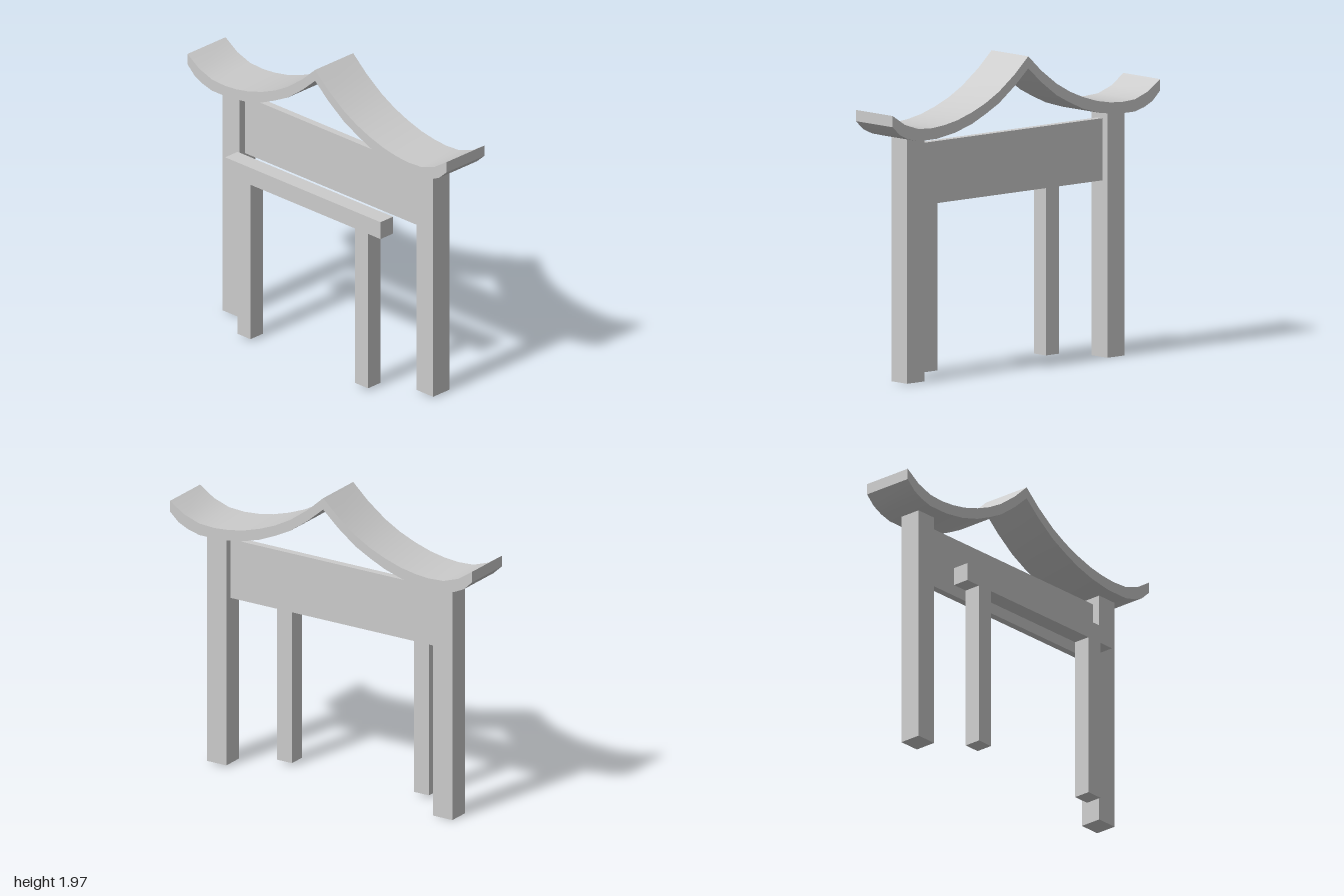
import * as THREE from 'three';
import { toCreasedNormals } from 'three/addons/utils/BufferGeometryUtils.js';

const material = new THREE.MeshStandardMaterial({ color: 0xcccccc });
const RIDGE = -0.016;

function box(name, [w, y0, y1, d], x, z) {
  const mesh = new THREE.Mesh(new THREE.BoxGeometry(w, y1 - y0, d), material);
  mesh.name = name;
  mesh.position.set(x, (y0 + y1) / 2, z);
  return mesh;
}

// Swept roof: half profiles from ridge to upturned eave, mirrored and extruded
function makeRoof() {
  const END = 1.113, depth = 0.336;
  const upper = [[0, 1.965], [0.11, 1.865], [0.24, 1.77], [0.35, 1.71], [0.46, 1.665],
    [0.58, 1.628], [0.69, 1.608], [0.79, 1.6], [0.9, 1.606], [1.01, 1.643], [END, 1.71]];
  const lower = [[END, 1.64], [1.05, 1.582], [0.98, 1.55], [0.9, 1.53], [0.75, 1.53],
    [0.6, 1.552], [0.46, 1.593], [0.35, 1.642], [0.24, 1.698], [0.11, 1.793], [0, 1.89]];
  const place = (side) => ([x, y]) =>
    new THREE.Vector2(side * x + RIDGE * (1 - x / END), y);
  const right = [...upper, ...lower].map(place(1));
  const left = [...upper, ...lower].map(place(-1)).reverse().slice(1, -1);
  const geometry = new THREE.ExtrudeGeometry(new THREE.Shape([...right, ...left]),
    { depth, bevelEnabled: false });
  geometry.translate(0, 0, -depth / 2);
  const mesh = new THREE.Mesh(toCreasedNormals(geometry, 0.6), material);
  mesh.name = 'roof';
  return mesh;
}

export function createModel() {
  const group = new THREE.Group();
  group.name = 'gate';
  const gate = new THREE.Group();
  gate.name = 'gateFrame';
  gate.rotation.y = -Math.PI / 5; // the gate stands turned on the ground
  group.add(gate);

  gate.add(makeRoof());

  // Main posts with the sign board between them
  gate.add(box('leftPost', [0.143, 0.01, 1.535, 0.143], 0.833, 0));
  gate.add(box('rightPost', [0.143, 0, 1.535, 0.143], -0.833, 0));
  gate.add(box('board', [1.6, 1.1, 1.487, 0.046], 0, -0.004));

  // Lower beam on two legs in front
  const frontZ = 0.221;
  gate.add(box('frontBeam', [1.335, 1.07, 1.185, 0.11], RIDGE, frontZ));
  for (const side of [-1, 1]) {
    gate.add(box(side > 0 ? 'leftFrontLeg' : 'rightFrontLeg',
      [0.11, 0.018, 1.07, 0.11], RIDGE + side * 0.505, frontZ));
  }
  return group;
}
